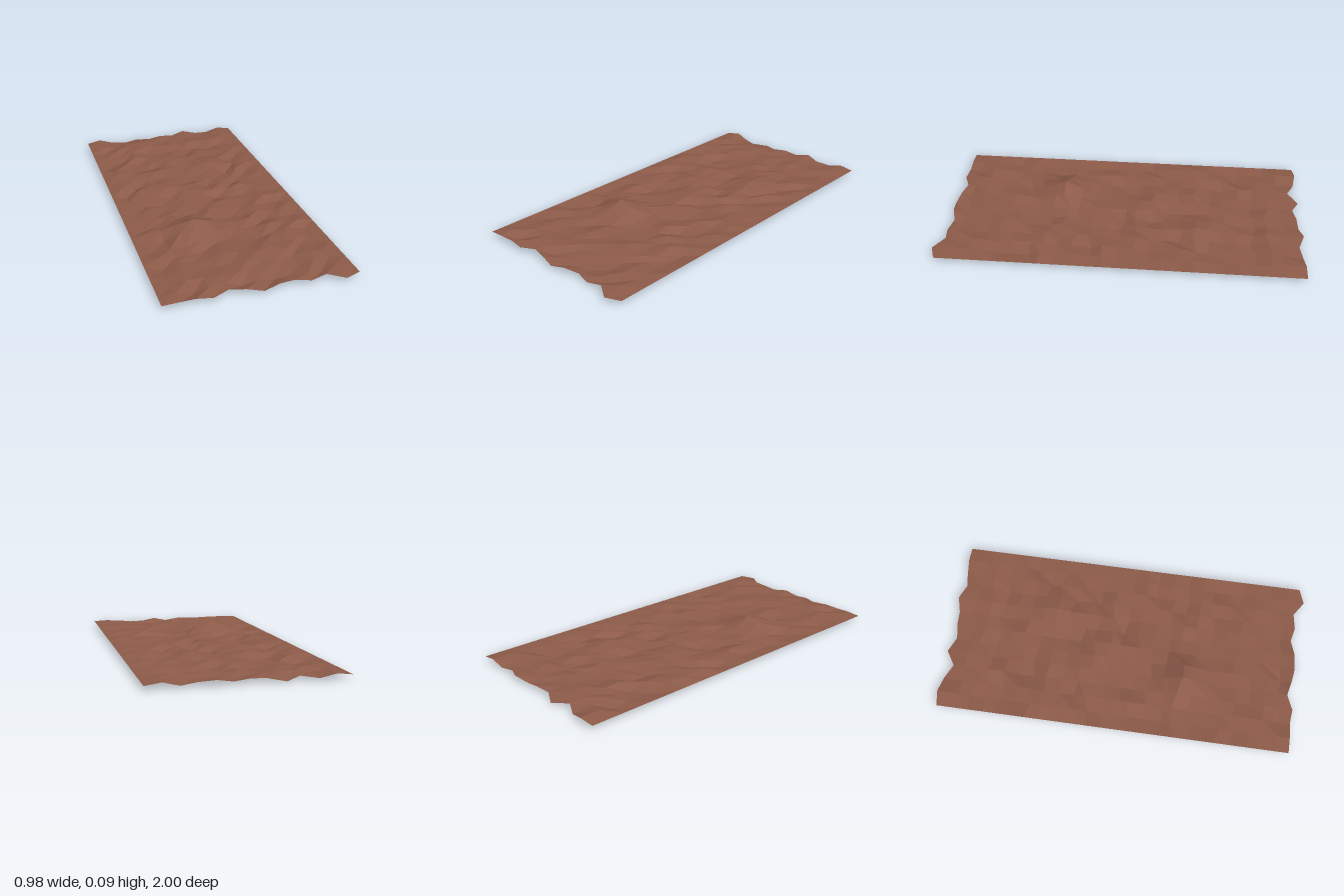
import * as THREE from 'three';

// Small repeatable random source, -1 to 1
function seeded(seed) {
  return () => {
    seed = (seed * 16807) % 2147483647;
    return (seed / 2147483647) * 2 - 1;
  };
}

export function createModel() {
  const group = new THREE.Group();
  group.name = 'groundPatch';
  const earth = new THREE.MeshStandardMaterial({ color: 0x8d5b49, side: THREE.DoubleSide, flatShading: true });
  earth.name = 'brown earth';

  const COLS = 12, ROWS = 24, HALF_X = 0.49, LEVEL = 0.023;
  // Ragged outlines of the back and front ends
  const backZ = [-0.99, -1, -0.985, -0.945, -1, -0.96, -0.975, -0.98, -1, -0.97, -0.985, -0.99, -0.99];
  const frontZ = [0.97, 0.97, 0.965, 0.975, 0.94, 0.96, 0.975, 0.965, 0.94, 0.96, 0.945, 1, 0.97];
  // Mounds: x, z, extra height, radius in x, radius in z
  const mounds = [
    [-0.16, 0.35, 0.068, 0.17, 0.14],
    [0.16, -0.43, 0.03, 0.13, 0.14],
    [-0.41, -0.41, 0.016, 0.1, 0.1],
    [-0.16, -0.2, 0.018, 0.1, 0.1],
    [0, -0.06, 0.016, 0.1, 0.09],
  ];

  // Uneven sheet with straight, level sides
  const sheet = new THREE.PlaneGeometry(2 * HALF_X, 1.95, COLS, ROWS).rotateX(-Math.PI / 2);
  const pos = sheet.attributes.position;
  const rand = seeded(4271);
  for (let j = 0; j <= ROWS; j++) {
    for (let i = 0; i <= COLS; i++) {
      const k = j * (COLS + 1) + i;
      const x = pos.getX(k);
      let z = pos.getZ(k) + rand() * 0.02;
      let y = LEVEL + rand() * 0.015;
      for (const [mx, mz, h, rx, rz] of mounds) {
        const d = Math.hypot((x - mx) / rx, (z - mz) / rz);
        if (d < 1) y = Math.max(y, LEVEL + 0.004 + h * (1 - d));
      }
      if (i === 0 || i === COLS) y = LEVEL;
      if (j === 0) z = backZ[i];
      if (j === ROWS) z = frontZ[i];
      pos.setXYZ(k, x, y, z);
    }
  }
  // Sharp top of the largest mound and lowest hollow
  const at = (i, j) => j * (COLS + 1) + i;
  pos.setXYZ(at(4, 16), -0.16, 0.093, 0.35);
  pos.setXYZ(at(5, 16), -0.08, 0.07, 0.35);
  pos.setY(at(4, 7), 0.042);
  pos.setY(at(8, 7), 0.055);
  pos.setY(at(7, 12), 0.003);

  const mesh = new THREE.Mesh(sheet.toNonIndexed(), earth);
  mesh.geometry.computeVertexNormals();
  mesh.name = 'unevenGround';
  group.add(mesh);
  return group;
}
